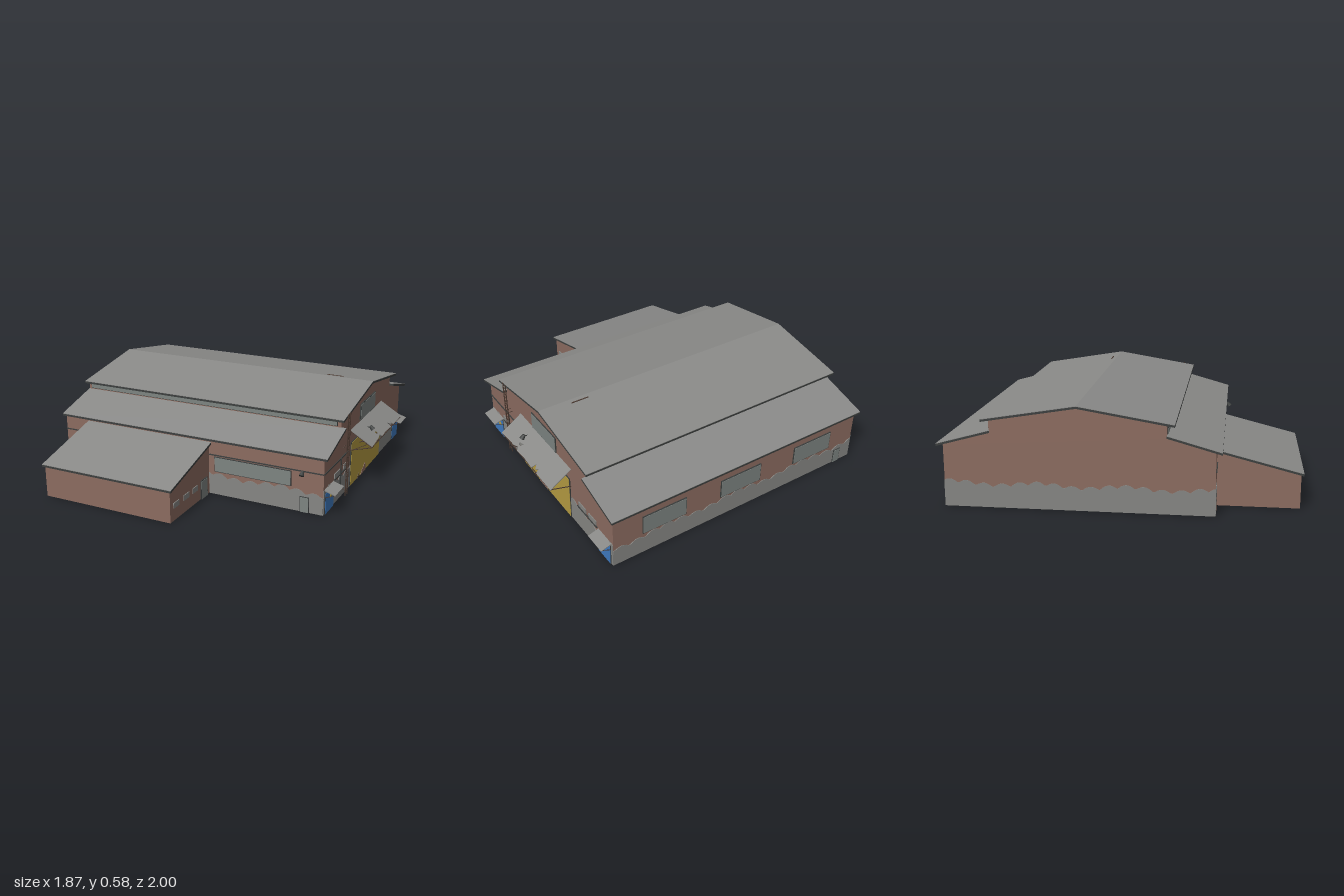
import * as THREE from 'three';

const mat = (name, color, double) => {
  const m = new THREE.MeshStandardMaterial({ color });
  m.name = name;
  if (double) m.side = THREE.DoubleSide;
  return m;
};

export function createModel() {
  const M = {
    brick: mat('brick', 0x8c6c60), plaster: mat('plaster', 0x868683),
    roof: mat('roof sheet', 0x8a8a88), trim: mat('dark trim', 0x3c3f3e),
    glass: mat('dull glass', 0x7d8481), yellow: mat('yellow gate', 0xb59c42),
    blue: mat('blue door', 0x3f7ac0), rust: mat('rusty steel', 0x4d3b32),
  };
  const root = new THREE.Group();
  root.name = 'warehouse';

  const add = (parent, name, geo, material, x = 0, y = 0, z = 0) => {
    const m = new THREE.Mesh(geo, material);
    m.name = name;
    m.position.set(x, y, z);
    parent.add(m);
    return m;
  };
  const poly = pts => new THREE.Shape(pts.map(p => new THREE.Vector2(p[0], p[1])));
  const extrude = (shape, depth) => new THREE.ExtrudeGeometry(shape, { depth, bevelEnabled: false });

  // One frame per side: local x runs along the wall, local z points outwards
  const side = (name, angle) => {
    const g = new THREE.Group();
    g.name = name;
    g.rotation.y = angle;
    root.add(g);
    return g;
  };
  const front = side('frontSide', 0), right = side('gateSide', Math.PI / 2);
  const back = side('backSide', Math.PI), left = side('plainSide', -Math.PI / 2);
  const D = { front: 0.527, right: 0.79, back: 0.96, left: 0.937 };

  // Flat plate on a wall, spanning x0..x1 and y0..y1
  const plate = (g, name, x0, x1, y0, y1, d, material, t = 0.005) =>
    add(g, name, new THREE.BoxGeometry(Math.abs(x1 - x0), y1 - y0, t), material, (x0 + x1) / 2, (y0 + y1) / 2, d + t / 2);
  const framed = (g, name, x0, x1, y0, y1, d, material = M.glass, f = 0.004) => {
    plate(g, name + 'Frame', x0 - f, x1 + f, Math.max(0, y0 - f), y1 + f, d, M.trim, 0.006);
    plate(g, name, x0, x1, y0, y1, d, material, 0.008);
  };
  const rod = (g, name, a, b, r = 0.003, material = M.rust) => {
    const A = new THREE.Vector3(...a), B = new THREE.Vector3(...b);
    const m = add(g, name, new THREE.CylinderGeometry(r, r, A.distanceTo(B), 5), material);
    m.position.copy(A).add(B).multiplyScalar(0.5);
    m.quaternion.setFromUnitVectors(new THREE.Vector3(0, 1, 0), B.sub(A).normalize());
  };

  // Brick walls: stepped gable hall and lean-to annex (profile x is -z)
  add(right, 'hallWalls', extrude(poly([
    [-0.527, 0], [0.96, 0], [0.96, 0.35], [0.7, 0.422], [0.7, 0.492], [0.217, 0.572],
    [-0.265, 0.492], [-0.265, 0.422], [-0.527, 0.35]]), 1.727), M.brick, 0, 0, -0.937);
  add(right, 'annexWalls', extrude(poly([
    [-0.985, 0], [-0.5, 0], [-0.5, 0.312], [-0.985, 0.192]]), 0.835), M.brick, 0, 0, -0.76);

  // Roof: grey sheet over a dark slab, following a line of [-z, y] points
  const roofing = (name, line, x0, x1) => {
    const band = (top, bottom) => extrude(poly([
      ...line.map(p => [p[0], p[1] - bottom]),
      ...line.slice().reverse().map(p => [p[0], p[1] - top])]), x1 - x0);
    add(right, name, band(0, 0.003), M.roof, 0, 0, x0);
    add(right, name + 'Edge', band(0.003, 0.015), M.trim, 0, 0, x0);
  };
  roofing('upperRoof', [[-0.307, 0.498], [0.22, 0.585], [0.747, 0.498]], -0.94, 0.818);
  roofing('frontLowerRoof', [[-0.56, 0.355], [-0.262, 0.438]], -0.94, 0.818);
  roofing('backLowerRoof', [[0.697, 0.438], [1, 0.355]], -0.94, 0.818);
  roofing('annexRoof', [[-1, 0.203], [-0.527, 0.322]], -0.77, 0.09);
  add(root, 'roofSlot', new THREE.BoxGeometry(0.11, 0.004, 0.006), M.rust, 0.565, 0.581, -0.25);

  // Worn plaster band with a ragged upper edge
  const plaster = (g, x0, x1, d, h = 0.125) => {
    const pts = [[x0, 0], [x1, 0]], n = Math.ceil((x1 - x0) / 0.012);
    for (let i = n; i >= 0; i--) {
      const x = x0 + (x1 - x0) * i / n;
      pts.push([x, h + 0.022 * Math.abs(Math.sin(x * 32)) + 0.01 * Math.sin(x * 13 + 1)]);
    }
    add(g, 'plasterBand', extrude(poly(pts), 0.003), M.plaster, 0, 0, d);
  };
  plaster(front, -0.937, -0.76, D.front, 0.12);
  plaster(front, 0.077, 0.79, D.front, 0.11);
  plaster(right, -0.527, -0.077, D.right);
  plaster(right, 0.505, 0.96, D.right);
  plaster(back, -0.79, 0.937, D.back, 0.105);
  plaster(left, -0.96, 0.527, D.left);

  // Front wall openings
  framed(front, 'frontWindow', 0.117, 0.593, 0.148, 0.233, D.front);
  framed(front, 'frontDoor', 0.656, 0.704, 0, 0.09, D.front);
  plate(front, 'bareBrickPatch', -0.868, -0.862, 0.01, 0.085, D.front, M.brick);
  framed(front, 'clerestoryWindow', -0.915, 0.765, 0.447, 0.472, 0.265, M.glass, 0.003);
  framed(back, 'clerestoryWindow', -0.765, 0.915, 0.447, 0.472, 0.7, M.glass, 0.003);

  // Back wall openings
  for (const x of [-0.46, 0.065, 0.605]) framed(back, 'backWindow', x - 0.14, x + 0.14, 0.142, 0.255, D.back);
  framed(back, 'backDoor', 0.805, 0.85, 0, 0.088, D.back);

  // Annex openings
  for (const x of [-0.92, -0.807, -0.703]) plate(right, 'annexWindow', x - 0.03, x + 0.03, 0.075, 0.107, 0.075, M.plaster);
  framed(right, 'annexDoor', -0.632, -0.562, 0, 0.112, 0.075);

  // Gate with rusted-through foot and the window above it
  framed(right, 'gate', -0.077, 0.505, 0.003, 0.28, D.right, M.yellow);
  add(right, 'gateDamage', extrude(poly([
    [0.12, 0], [0.225, 0], [0.215, 0.035], [0.195, 0.058], [0.175, 0.035], [0.15, 0.03]]), 0.002), M.brick, 0, 0, D.right + 0.008);
  add(right, 'gateDamage', extrude(poly([
    [0.055, 0], [0.085, 0], [0.075, 0.033], [0.065, 0.018]]), 0.002), M.rust, 0, 0, D.right + 0.008);
  framed(right, 'gableWindow', 0.077, 0.36, 0.377, 0.473, D.right);

  // Side doors under small tilted canopies
  for (const [a, b] of [[-0.51, -0.377], [0.815, 0.94]]) {
    framed(right, 'blueDoor', a, b, 0, 0.128, D.right, M.blue);
    const c = add(right, 'doorCanopy', new THREE.BoxGeometry(b - a + 0.012, 0.005, 0.07), M.roof, (a + b) / 2, 0.138, 0.822);
    c.rotation.x = 0.3;
    for (const x of [a, b]) rod(right, 'canopyBrace', [x, 0.1, 0.79], [x, 0.127, 0.85], 0.002);
  }
  plate(right, 'doorPane', -0.437, -0.4, 0.075, 0.1, D.right + 0.007, M.yellow, 0.002);

  // Small windows and their sills
  for (const [a, b] of [[-0.36, -0.27], [-0.205, -0.16], [0.6, 0.68], [0.71, 0.79]])
    plate(right, 'smallWindow', a, b, 0.157, 0.187, D.right, M.plaster);
  for (const [a, b] of [[-0.36, -0.16], [0.59, 0.8]])
    plate(right, 'windowSill', a, b, 0.148, 0.154, D.right, M.trim, 0.008);

  // Torn gate canopy, sloping outwards
  const sheet = poly([[-0.09, 0], [0.525, 0], [0.53, 0.16], [0.36, 0.16], [0.35, 0.135], [0.335, 0.15],
    [0.31, 0.125], [0.3, 0.16], [0.2, 0.155], [0.12, 0.16], [0.105, 0.14], [0.07, 0.15], [-0.085, 0.16]]);
  sheet.holes.push(new THREE.Path([[0.085, 0.115], [0.12, 0.108], [0.115, 0.125], [0.095, 0.13]].map(p => new THREE.Vector2(...p))));
  const canopy = add(right, 'gateCanopy', extrude(sheet, 0.005), M.roof, 0, 0.366, 0.79);
  canopy.rotation.x = Math.atan2(0.137, -0.085);
  for (let i = 0; i < 5; i++) {
    const x = -0.08 + i * 0.149;
    rod(right, 'canopyRafter', [x, 0.354, 0.79], [x, 0.272, 0.922]);
    rod(right, 'canopyStrut', [x, 0.235, 0.79], [x, 0.272, 0.922]);
    if (i < 4) rod(right, 'canopyBrace', [x, 0.235, 0.8], [x + 0.149, 0.272, 0.92], 0.002);
  }
  rod(right, 'canopyBeam', [-0.085, 0.272, 0.92], [0.525, 0.272, 0.92]);

  // Wall ladder
  for (const x of [-0.24, -0.207]) {
    rod(right, 'ladderRail', [x, 0.01, 0.822], [x, 0.515, 0.822], 0.0035);
    for (const y of [0.05, 0.2, 0.31, 0.49]) rod(right, 'ladderBracket', [x, y, 0.79], [x, y, 0.822], 0.002);
  }
  for (let y = 0.03; y < 0.51; y += 0.024) rod(right, 'ladderRung', [-0.24, y, 0.822], [-0.207, y, 0.822], 0.002);
  rod(right, 'downPipe', [-0.263, 0.06, 0.797], [-0.263, 0.25, 0.797], 0.004, M.trim);

  // Cables along the walls
  for (const [g, a, b, d] of [[front, -0.937, -0.76, D.front], [front, 0.08, 0.79, D.front], [right, -0.527, -0.13, D.right]])
    plate(g, 'cable', a, b, 0.243, 0.249, d, M.trim, 0.006);

  // Floodlights: bracket and tilted lamp head
  const lamp = (g, x, y, d) => {
    rod(g, 'lampBracket', [x, y, d - 0.035], [x, y, d], 0.003, M.trim);
    const head = add(g, 'lampHead', new THREE.CylinderGeometry(0.009, 0.016, 0.028, 8), M.trim, x, y, d);
    head.rotation.x = -0.7;
  };
  lamp(front, 0.675, 0.247, 0.566);
  lamp(right, 0.085, 0.335, 0.865);

  return root;
}
